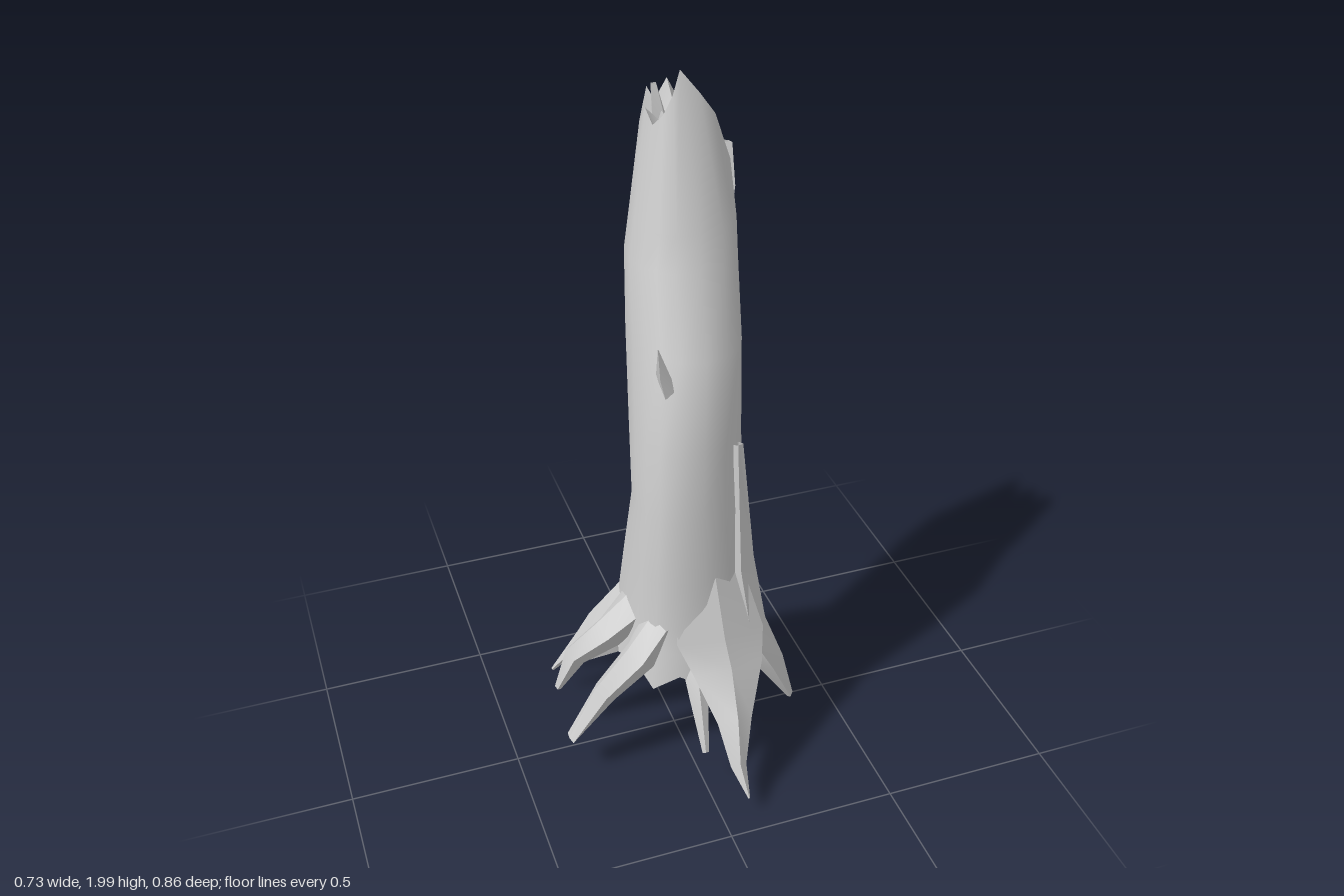
import * as THREE from 'three';
import { toCreasedNormals } from 'three/addons/utils/BufferGeometryUtils.js';

const material = new THREE.MeshStandardMaterial({ color: 0xcccccc, side: THREE.DoubleSide });

// Skin a list of rings, each with the same number of points
function loft(name, rings, crease) {
  const n = rings[0].length, index = [];
  for (let j = 0; j < rings.length - 1; j++) {
    for (let i = 0; i < n; i++) {
      const a = j * n + i, b = j * n + (i + 1) % n;
      index.push(a, a + n, b, b, a + n, b + n);
    }
  }
  const geo = new THREE.BufferGeometry().setFromPoints(rings.flat());
  geo.setIndex(index);
  const mesh = new THREE.Mesh(toCreasedNormals(geo, crease), material);
  mesh.name = name;
  return mesh;
}

// Trunk outline: y, min x, max x, min z, max z
const OUTLINE = [
  [0.28, -0.165, 0.27, -0.3, 0.2], [0.4, -0.145, 0.25, -0.285, 0.17],
  [0.5, -0.135, 0.235, -0.265, 0.15],
  [0.65, -0.12, 0.22, -0.235, 0.135], [0.85, -0.105, 0.2, -0.175, 0.115],
  [1.05, -0.09, 0.21, -0.24, 0.08], [1.3, -0.065, 0.235, -0.34, 0.02],
  [1.5, -0.04, 0.26, -0.4, -0.1], [1.7, 0, 0.265, -0.415, -0.16],
  [1.9, 0.035, 0.22, -0.415, -0.23], [2.0, 0.05, 0.17, -0.4, -0.27],
];

// Slightly squared-off oval section
const squared = (v) => Math.sign(v) * Math.abs(v) ** 0.82;

function trunkPoint(y, angle, scale = 1) {
  let k = 0;
  while (k < OUTLINE.length - 2 && y > OUTLINE[k + 1][0]) k++;
  const p = OUTLINE[k], q = OUTLINE[k + 1];
  const t = (y - p[0]) / (q[0] - p[0]);
  const [x0, x1, z0, z1] = [1, 2, 3, 4].map((c) => p[c] + (q[c] - p[c]) * t);
  const r = scale * (1 + 0.025 * Math.sin(3 * angle + 2 * y));
  return new THREE.Vector3(
    (x0 + x1) / 2 + r * squared(Math.cos(angle)) * (x1 - x0) / 2, y,
    (z0 + z1) / 2 + r * squared(Math.sin(angle)) * (z1 - z0) / 2);
}

// Leaning trunk with a notched, flared foot and a jagged break at the top
function makeTrunk() {
  const rim = [1.74, 1.75, 1.88, 1.94, 2.0, 1.94, 1.89, 1.86,
    1.89, 1.84, 1.92, 1.87, 1.93, 1.82, 1.7, 1.76];
  const n = rim.length;
  const ring = (height, scale) => rim.map((_, i) => trunkPoint(height(i), i / n * Math.PI * 2, scale));
  const rings = [
    ring(() => 0.4, 0.02),
    ring((i) => 0.38 - 0.03 * (i % 2), 0.7),
    ring((i) => 0.3 + 0.05 * (i % 2)),
    ...[0.42, 0.5, 0.65, 0.85, 1.05, 1.3, 1.5, 1.6].map((y) => ring(() => y)),
    ring((i) => rim[i]),
    ring((i) => (rim[i] + 1.82) / 2 - 0.04 * (i % 2), 0.6),
    ring(() => 1.8, 0.02),
  ];
  return loft('trunk', rings, 0.75);
}

// Tapering limb through stations [x, y, z, half width, half thickness]
function makeLimb(name, stations, sides = 5) {
  const pts = stations.map((s) => new THREE.Vector3(s[0], s[1], s[2]));
  const first = pts[0], last = pts[pts.length - 1];
  const side = new THREE.Vector3(first.z - last.z, 0, last.x - first.x).normalize();
  const rings = pts.map((p, j) => {
    const along = pts[Math.min(j + 1, pts.length - 1)].clone()
      .sub(pts[Math.max(j - 1, 0)]).normalize();
    const up = new THREE.Vector3().crossVectors(side, along).normalize();
    const [w, h] = stations[j].slice(3);
    return Array.from({ length: sides }, (_, i) => {
      const a = Math.PI / 2 - i / sides * Math.PI * 2;
      return p.clone().addScaledVector(side, Math.cos(a) * w).addScaledVector(up, Math.sin(a) * h);
    });
  });
  return loft(name, rings, 0.6);
}

const ROOTS = {
  frontRoot: [[0.08, 0.64, 0.08, 0.1, 0.05], [0.09, 0.45, 0.13, 0.14, 0.06],
    [0.1, 0.35, 0.18, 0.11, 0.05], [0.085, 0.24, 0.28, 0.055, 0.05],
    [0.07, 0.14, 0.36, 0.025, 0.03], [0.08, 0.07, 0.43, 0.003, 0.003]],
  frontSmallRoot: [[0.02, 0.42, 0.1, 0.05, 0.04], [0.005, 0.29, 0.2, 0.03, 0.03], [0, 0.14, 0.28, 0.01, 0.006]],
  leftFrontRoot: [[0.165, 1.04, 0.045, 0.01, 0.02], [0.175, 0.65, 0.045, 0.08, 0.05],
    [0.205, 0.42, 0.07, 0.1, 0.055], [0.27, 0.28, 0.105, 0.06, 0.04], [0.335, 0.13, 0.115, 0.022, 0.01]],
  leftSmallRoot: [[0.19, 0.45, -0.06, 0.05, 0.04], [0.27, 0.31, -0.085, 0.035, 0.03], [0.365, 0.16, -0.075, 0.006, 0.006]],
  leftBackRoot: [[0.16, 0.6, -0.1, 0.06, 0.03], [0.23, 0.38, -0.13, 0.075, 0.045],
    [0.31, 0.22, -0.17, 0.045, 0.035], [0.355, 0.015, -0.19, 0.02, 0.008]],
  rightFrontRoot: [[-0.07, 0.5, 0.07, 0.07, 0.03], [-0.14, 0.4, 0.095, 0.055, 0.05],
    [-0.25, 0.29, 0.095, 0.04, 0.035], [-0.355, 0.14, 0.095, 0.025, 0.008]],
  rightRoot: [[-0.08, 0.5, -0.05, 0.09, 0.04], [-0.19, 0.39, -0.05, 0.055, 0.05],
    [-0.29, 0.31, -0.07, 0.037, 0.035], [-0.345, 0.19, -0.08, 0.015, 0.01]],
  rightBackRoot: [[-0.07, 0.48, -0.14, 0.06, 0.04], [-0.18, 0.33, -0.185, 0.04, 0.035],
    [-0.22, 0.26, -0.2, 0.032, 0.03], [-0.32, 0.12, -0.24, 0.006, 0.005]],
  backRoot: [[-0.05, 0.48, -0.18, 0.07, 0.04], [-0.08, 0.29, -0.26, 0.07, 0.045],
    [-0.085, 0.1, -0.315, 0.035, 0.03], [-0.21, 0.02, -0.355, 0.005, 0.005]],
  backSmallRoot: [[0.08, 0.45, -0.22, 0.06, 0.03], [0.07, 0.3, -0.28, 0.035, 0.025],
    [0.06, 0.15, -0.34, 0.004, 0.004]],
};

const SPLINTERS = {
  twigStub: [[-0.01, 1.18, 0.0, 0.02, 0.015], [-0.03, 1.27, 0.005, 0.025, 0.018], [-0.055, 1.37, 0.035, 0.002, 0.002]],
  rimSplinter: [[0.215, 1.45, -0.31, 0.05, 0.025], [0.255, 1.64, -0.34, 0.045, 0.03], [0.275, 1.75, -0.36, 0.02, 0.015]],
  backSplinter: [[0.2, 1.4, -0.33, 0.04, 0.03], [0.23, 1.48, -0.37, 0.025, 0.02], [0.27, 1.54, -0.43, 0.003, 0.003]],
  innerSplinter: [[0.1, 1.65, -0.34, 0.04, 0.03], [0.09, 1.8, -0.36, 0.035, 0.025], [0.075, 1.93, -0.38, 0.01, 0.01]],
};

export function createModel() {
  const model = new THREE.Group();
  model.name = 'brokenTreeTrunk';
  model.add(makeTrunk());

  const roots = new THREE.Group();
  roots.name = 'roots';
  for (const [name, stations] of Object.entries(ROOTS)) roots.add(makeLimb(name, stations));

  const splinters = new THREE.Group();
  splinters.name = 'splinters';
  for (const [name, stations] of Object.entries(SPLINTERS)) splinters.add(makeLimb(name, stations, 4));

  model.add(roots, splinters);
  return model;
}
